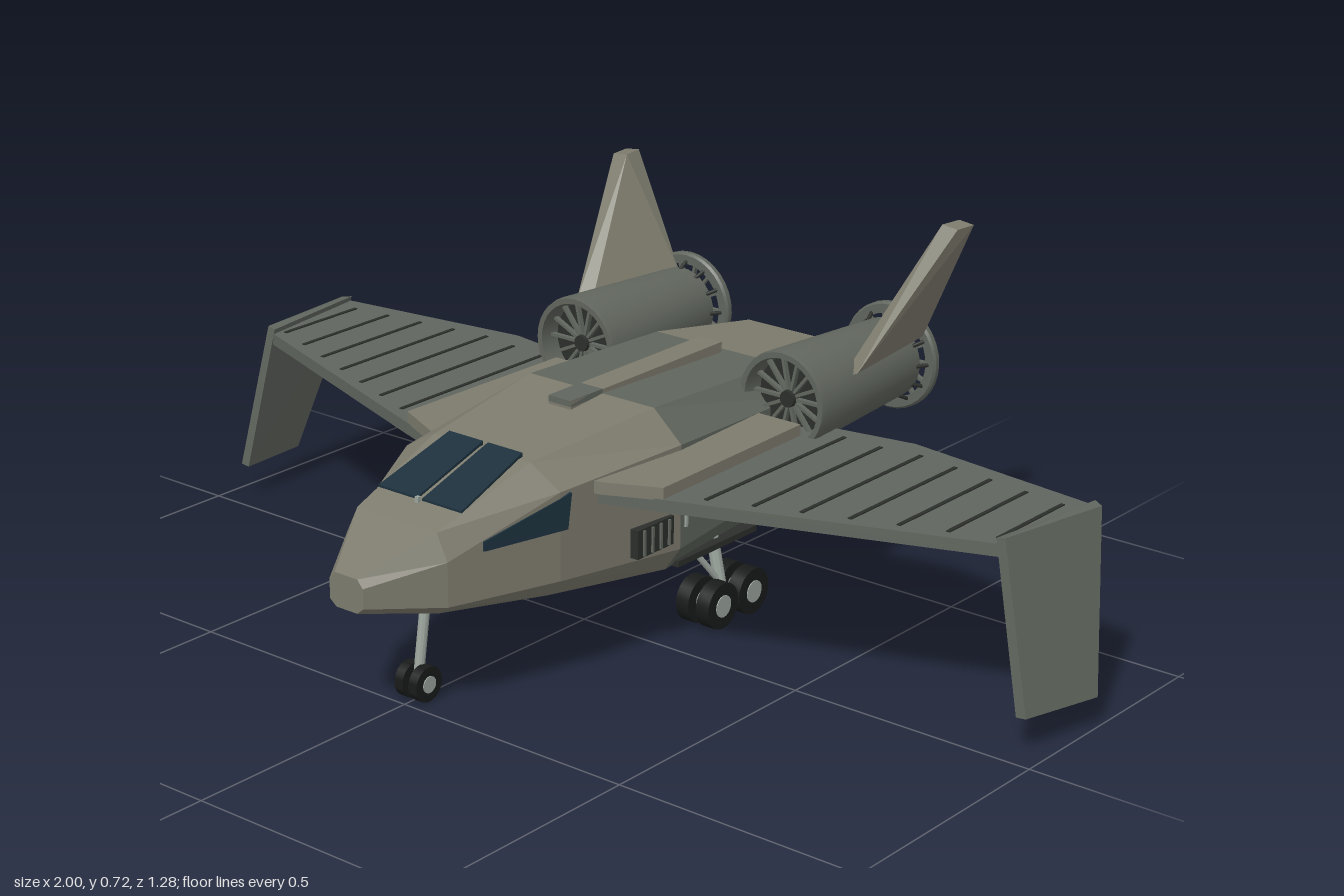
import * as THREE from 'three';
import { ConvexGeometry } from 'three/addons/geometries/ConvexGeometry.js';
import { toCreasedNormals } from 'three/addons/utils/BufferGeometryUtils.js';

const mat = (color, flat = true) =>
  new THREE.MeshStandardMaterial({ color, flatShading: flat, side: THREE.DoubleSide });
const BEIGE = mat(0x7d7b6d), GREEN = mat(0x60665e), DARK = mat(0x2b2e2b), GLASS = mat(0x1c303c);
const METAL = mat(0x9aa39c), TYRE = mat(0x181b1a, false), SHELL = mat(0x60655d, false);

export function createModel() {
  const model = new THREE.Group();
  const V = (x, y, z) => new THREE.Vector3(x, y, z);

  function add(name, geometry, material, parent = model) {
    const mesh = new THREE.Mesh(geometry, material);
    mesh.name = name;
    parent.add(mesh);
    return mesh;
  }
  function box(name, w, h, d, x, y, z, material, parent) {
    const mesh = add(name, new THREE.BoxGeometry(w, h, d), material, parent);
    mesh.position.set(x, y, z);
    return mesh;
  }
  // Convex solid around a few corner points
  const hull = (name, pts, material, parent) =>
    add(name, new ConvexGeometry(pts.map(p => V(...p))), material, parent);
  // Flat plate: outline of [x, z] between two heights, on side s
  const plate = (name, s, outline, y0, y1, material, parent) =>
    hull(name, outline.flatMap(([x, z]) => [[s * x, y0, z], [s * x, y1, z]]), material, parent);
  // Rod between two points
  function rod(name, a, b, r, material, parent) {
    const dir = b.clone().sub(a);
    const mesh = add(name, new THREE.CylinderGeometry(r, r, dir.length(), 12), material, parent);
    mesh.position.copy(a).addScaledVector(dir, 0.5);
    mesh.quaternion.setFromUnitVectors(V(0, 1, 0), dir.normalize());
    return mesh;
  }

  // Fuselage: eight-sided sections [z, bottom, chine, shoulder, top, bottomW, sideW, topW]
  const sections = [
    [-0.62, 0.265, 0.31, 0.38, 0.425, 0.065, 0.105, 0.09],
    [-0.40, 0.155, 0.22, 0.385, 0.443, 0.15, 0.195, 0.15],
    [-0.02, 0.145, 0.195, 0.40, 0.457, 0.18, 0.215, 0.15],
    [0.285, 0.185, 0.22, 0.39, 0.43, 0.155, 0.185, 0.115],
    [0.51, 0.207, 0.225, 0.31, 0.36, 0.095, 0.12, 0.095],
    [0.64, 0.23, 0.242, 0.28, 0.295, 0.025, 0.04, 0.027],
  ];
  const ring = ([z, b, c, s, t, bw, sw, tw]) => [
    [bw, b], [sw, c], [sw, s], [tw, t], [-tw, t], [-sw, s], [-sw, c], [-bw, b],
  ].map(([x, y]) => [x, y, z]);
  const names = ['tailCone', 'rearFuselage', 'midFuselage', 'cockpitSection', 'noseSection'];
  names.forEach((name, i) => {
    const a = ring(sections[i]), b = ring(sections[i + 1]), pos = [];
    for (let k = 0; k < 8; k++) {
      const n = (k + 1) % 8;
      pos.push(...a[k], ...a[n], ...b[n], ...a[k], ...b[n], ...b[k]);
      if (i === 0 && k > 0 && k < 7) pos.push(...a[0], ...a[n], ...a[k]);
      if (i === 4 && k > 0 && k < 7) pos.push(...b[0], ...b[k], ...b[n]);
    }
    const g = new THREE.BufferGeometry();
    g.setAttribute('position', new THREE.Float32BufferAttribute(pos, 3));
    g.computeVertexNormals();
    add(name, g, i === 1 ? GREEN : BEIGE);
  });

  // Spine on the roof
  box('spine', 0.054, 0.03, 0.45, 0, 0.45, -0.155, BEIGE);
  box('spineFairing', 0.054, 0.012, 0.09, 0, 0.46, 0.025, GREEN);
  box('noseSensor', 0.008, 0.03, 0.008, 0, 0.372, 0.455, METAL);

  function buildEngine(s) {
    const engine = new THREE.Group();
    engine.name = 'engine';
    engine.position.set(s * 0.253, 0.424, 0);
    model.add(engine);
    const turned = (name, pts, material) => {
      const g = new THREE.LatheGeometry(pts.map(p => new THREE.Vector2(...p)), 32);
      return add(name, toCreasedNormals(g.rotateX(Math.PI / 2), 0.6), material, engine);
    };
    // Open tapered shell and the flared exhaust ring
    turned('nacelle', [[0.072, -0.61], [0.08, -0.61], [0.098, -0.28], [0.096, -0.27],
      [0.085, -0.27], [0.08, -0.32], [0.072, -0.61]], SHELL);
    turned('exhaustRing', [[0.086, -0.64], [0.104, -0.64], [0.108, -0.635], [0.108, -0.625],
      [0.104, -0.62], [0.086, -0.62], [0.086, -0.64]], SHELL);
    // Fans at both ends
    for (const [z, r, name] of [[-0.3, 0.083, 'intake'], [-0.628, 0.088, 'exhaust']]) {
      const back = name === 'intake' ? -0.012 : 0.024;
      const disc = add(name + 'Backing', new THREE.CylinderGeometry(0.078, 0.078, 0.004, 32), DARK, engine);
      disc.rotation.x = Math.PI / 2;
      disc.position.z = z + back;
      const hub = add(name + 'Hub', new THREE.CylinderGeometry(0.016, 0.02, 0.024, 16), DARK, engine);
      hub.rotation.x = Math.PI / 2;
      hub.position.z = z;
      for (let i = 0; i < 14; i++) {
        const a = i / 14 * Math.PI * 2;
        const blade = add(name + 'Blade', new THREE.BoxGeometry(r - 0.012, 0.006, 0.01), GREEN, engine);
        blade.position.set(Math.cos(a) * (r + 0.012) / 2, Math.sin(a) * (r + 0.012) / 2, z);
        blade.rotation.z = a;
      }
    }
    // Struts carrying the exhaust ring
    for (let i = 0; i < 12; i++) {
      const a = i / 12 * Math.PI * 2, c = Math.cos(a), d = Math.sin(a);
      rod('ringStrut', V(c * 0.078, d * 0.078, -0.6), V(c * 0.095, d * 0.095, -0.63), 0.004, DARK, engine);
    }
  }

  function wheel(x, y, z, r, w, parent) {
    const tyre = add('tyre', toCreasedNormals(new THREE.CylinderGeometry(r, r, w, 24), 0.6), TYRE, parent);
    const hub = add('wheelHub', new THREE.CylinderGeometry(r * 0.48, r * 0.48, w + 0.004, 16), METAL, parent);
    for (const m of [tyre, hub]) {
      m.rotation.z = Math.PI / 2;
      m.position.set(x, y, z);
    }
  }

  for (const s of [1, -1]) {
    // Wing root and wing with panel lines
    plate('wingRoot', s, [[0.17, 0.205], [0.205, 0.2], [0.31, 0.15], [0.3, -0.27], [0.17, -0.27]], 0.366, 0.39, BEIGE);
    plate('wing', s, [[0.17, 0.2], [0.31, 0.152], [0.89, -0.062], [0.925, -0.318], [0.49, -0.372],
      [0.3, -0.34], [0.17, -0.31]], 0.344, 0.368, GREEN);
    for (let i = 0; i < 7; i++) {
      const x = 0.37 + i * 0.0825;
      const front = 0.152 - (x - 0.31) * 0.369 - 0.025;
      const rear = (x < 0.49 ? -0.355 : -0.372 + (x - 0.49) * 0.124) + 0.04;
      box('wingPanelLine', 0.008, 0.004, front - rear, s * x, 0.368, (front + rear) / 2, DARK);
    }
    // Drooped winglet, toed outwards at the back
    hull('winglet', [[0.875, 0.378, -0.058], [0.893, 0.382, -0.058], [0.91, 0.378, -0.32], [0.93, 0.375, -0.31],
      [0.945, 0.068, -0.037], [0.965, 0.07, -0.037], [0.978, 0.055, -0.215], [1, 0.06, -0.215]]
      .map(([x, y, z]) => [s * x, y, z]), GREEN);
    // Canted tail fin
    hull('tailFin', [[0.31, 0.455, -0.385], [0.345, 0.47, -0.385], [0.265, 0.48, -0.62], [0.33, 0.48, -0.62],
      [0.385, 0.722, -0.59], [0.42, 0.718, -0.59], [0.392, 0.722, -0.637], [0.425, 0.718, -0.637]]
      .map(([x, y, z]) => [s * x, y, z]), BEIGE);
    buildEngine(s);

    // Windscreen pane and side window
    hull('windscreenPane', [[0.006, 0.431, 0.275], [0.088, 0.431, 0.275], [0.006, 0.372, 0.45], [0.1, 0.372, 0.45],
      [0.006, 0.439, 0.275], [0.088, 0.439, 0.275], [0.006, 0.383, 0.45], [0.1, 0.383, 0.45]]
      .map(([x, y, z]) => [s * x, y, z]), GLASS);
    hull('sideWindow', [[0.144, 0.315, 0.44], [0.144, 0.333, 0.44], [0.191, 0.317, 0.27], [0.193, 0.385, 0.262],
      [0.13, 0.315, 0.44], [0.13, 0.333, 0.44], [0.18, 0.317, 0.27], [0.18, 0.385, 0.262]]
      .map(([x, y, z]) => [s * x, y, z]), GLASS);

    // Side vent with slats
    box('vent', 0.03, 0.056, 0.104, s * 0.205, 0.243, 0.058, DARK);
    for (let i = 0; i < 4; i++)
      box('ventSlat', 0.006, 0.05, 0.005, s * 0.221, 0.243, 0.093 - i * 0.024, GREEN);
    box('sideHandle', 0.008, 0.035, 0.006, s * 0.215, 0.253, -0.035, METAL);

    // Main landing gear: bay door, leg and four wheels on a bogie
    const gear = new THREE.Group();
    gear.name = 'mainGear';
    model.add(gear);
    box('gearDoor', 0.1, 0.012, 0.24, s * 0.145, 0.152, -0.16, DARK, gear);
    rod('mainLeg', V(s * 0.165, 0.16, -0.18), V(s * 0.188, 0.05, -0.182), 0.012, METAL, gear);
    rod('mainBrace', V(s * 0.165, 0.15, -0.12), V(s * 0.186, 0.07, -0.18), 0.006, METAL, gear);
    box('bogie', 0.016, 0.016, 0.1, s * 0.19, 0.047, -0.1825, METAL, gear);
    for (const z of [-0.135, -0.23]) {
      rod('axle', V(s * 0.16, 0.046, z), V(s * 0.22, 0.046, z), 0.008, METAL, gear);
      for (const dx of [-0.024, 0.024]) wheel(s * 0.19 + dx, 0.046, z, 0.046, 0.03, gear);
    }
    // Nose wheel pair
    wheel(s * 0.017, 0.034, 0.463, 0.034, 0.02, model);
  }
  rod('noseLeg', V(0, 0.034, 0.463), V(0, 0.215, 0.435), 0.01, METAL);
  rod('noseAxle', V(-0.02, 0.034, 0.463), V(0.02, 0.034, 0.463), 0.008, METAL);
  return model;
}
